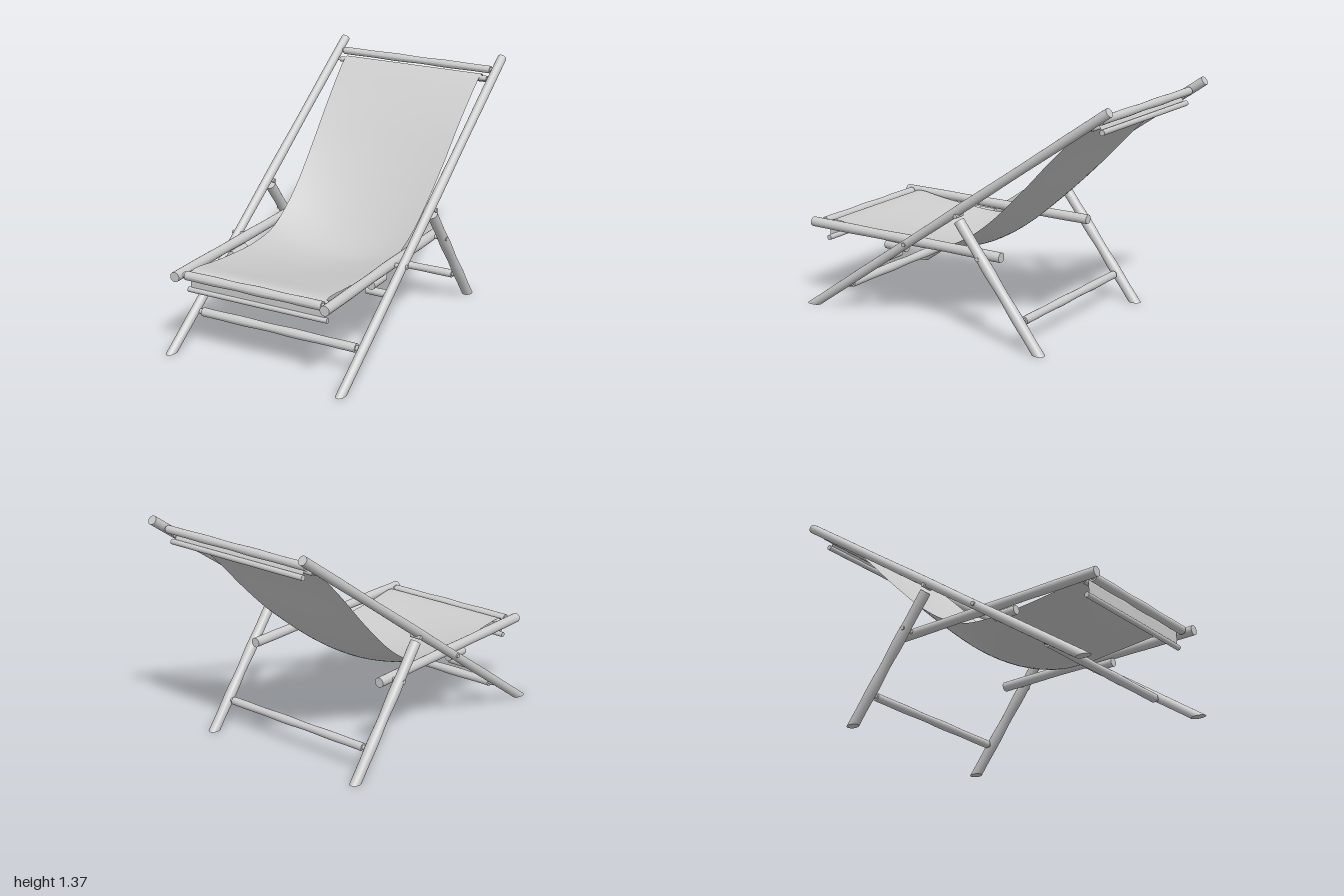
import * as THREE from 'three';

const wood = new THREE.MeshStandardMaterial({ color: 0xcccccc });
const fabric = new THREE.MeshStandardMaterial({ color: 0xcccccc, side: THREE.DoubleSide });
const V = (x, y, z) => new THREE.Vector3(x, y, z);

// Slightly knobbly round pole from a to b; foot = true slices the end at a level with the ground
function pole(name, a, b, r, { wobble = 0, foot = false } = {}) {
  const length = a.distanceTo(b);
  const axis = b.clone().sub(a).normalize();
  const geo = new THREE.CylinderGeometry(r, r, length, 18, wobble ? 20 : 1);
  const turn = new THREE.Quaternion().setFromUnitVectors(V(0, 1, 0), axis);
  const middle = a.clone().add(b).multiplyScalar(0.5);
  const pos = geo.attributes.position;
  for (let i = 0; i < pos.count; i++) {
    const p = V().fromBufferAttribute(pos, i);
    const t = p.y / length + 0.5;
    const swell = 1 + wobble * Math.sin(t * 17 + a.z * 5) * Math.sin(t * Math.PI);
    p.x *= swell;
    p.z *= swell;
    p.applyQuaternion(turn).add(middle);
    if (foot && t < 0.001) p.addScaledVector(axis, -p.y / axis.y);
    pos.setXYZ(i, p.x, p.y, p.z);
  }
  geo.computeVertexNormals();
  const mesh = new THREE.Mesh(geo, wood);
  mesh.name = name;
  return mesh;
}

// Crossbar along x, with thinner tenons entering the side poles
function crossbar(name, halfWidth, y, z, r, tenon = 0.03, wobble = 0.08) {
  const bar = new THREE.Group();
  bar.name = name;
  bar.add(pole(name + 'Body', V(-halfWidth, y, z), V(halfWidth, y, z), r, { wobble }));
  if (tenon) {
    const w = halfWidth + tenon;
    bar.add(pole(name + 'Tenon', V(-w, y, z), V(w, y, z), r * 0.6));
  }
  return bar;
}

// Sling cloth: rows of [z, edge height, half width, sag at the middle]
function sling() {
  const rows = [
    [-0.905, 1.207, 0.45, 0], [-0.89, 1.24, 0.45, 0], [-0.868, 1.264, 0.45, 0],
    [-0.83, 1.25, 0.45, 0], [-0.62, 1.06, 0.44, 0.02], [-0.4, 0.83, 0.43, 0.045],
    [-0.2, 0.64, 0.42, 0.065], [-0.05, 0.53, 0.415, 0.08], [0.1, 0.46, 0.41, 0.075],
    [0.3, 0.44, 0.405, 0.055], [0.5, 0.45, 0.4, 0.035], [0.7, 0.468, 0.402, 0.015],
    [0.88, 0.487, 0.41, 0], [0.912, 0.475, 0.41, 0], [0.917, 0.43, 0.41, 0], [0.917, 0.366, 0.41, 0],
  ];
  const edge = new THREE.CatmullRomCurve3(rows.map(([z, y, w]) => V(w, y, z)), false, 'centripetal');
  const sags = new THREE.CatmullRomCurve3(rows.map((q, i) => V(q[3], i * 0.1, 0)), false, 'centripetal');
  const n = 90, m = 20;
  const geo = new THREE.PlaneGeometry(1, 1, m, n);
  const pos = geo.attributes.position;
  for (let j = 0; j <= n; j++) {
    const p = edge.getPoint(j / n);
    const sag = sags.getPoint(j / n).x;
    for (let i = 0; i <= m; i++) {
      const u = (i / m) * 2 - 1;
      pos.setXYZ(j * (m + 1) + i, u * p.x, p.y - sag * (1 - u * u), p.z);
    }
  }
  geo.computeVertexNormals();
  const mesh = new THREE.Mesh(geo, fabric);
  mesh.name = 'slingCloth';
  return mesh;
}

export function createModel() {
  const chair = new THREE.Group();
  chair.name = 'deckChair';

  for (const [side, s] of [['left', 1], ['right', -1]]) {
    const frame = new THREE.Group();
    frame.name = side + 'Frame';
    // Long back rail, rear prop leg and level seat rail
    frame.add(pole('backRail', V(s * 0.525, 0, 0.955), V(s * 0.525, 1.345, -0.98), 0.026, { wobble: 0.05, foot: true }));
    frame.add(pole('rearLeg', V(s * 0.525, 0, -0.58), V(s * 0.525, 0.655, -0.075), 0.03, { wobble: 0.07, foot: true }));
    frame.add(pole('seatRail', V(s * 0.455, 0.47, 1), V(s * 0.455, 0.47, -0.3), 0.028, { wobble: 0.05 }));
    // Stop block under the seat rail, resting on a peg in the back rail
    frame.add(pole('stopBlock', V(s * 0.44, 0.416, 0.48), V(s * 0.44, 0.416, 0.34), 0.025));
    frame.add(pole('stopPeg', V(s * 0.39, 0.363, 0.43), V(s * 0.51, 0.363, 0.43), 0.022));
    // Pivot pegs
    for (const [y, z, inner] of [[0.47, 0.28, 0.45], [0.685, -0.07, 0.49], [0.47, -0.21, 0.45]]) {
      frame.add(pole('pivotPeg', V(s * inner, y, z), V(s * 0.557, y, z), 0.012));
    }
    chair.add(frame);
  }

  // Crossbars of the back frame, the rear legs and the seat frame
  chair.add(crossbar('topBar', 0.487, 1.285, -0.905, 0.022));
  chair.add(crossbar('frontFootBar', 0.48, 0.155, 0.71, 0.025));
  chair.add(crossbar('rearFootBar', 0.48, 0.155, -0.46, 0.023));
  chair.add(crossbar('seatFrontBar', 0.415, 0.47, 0.948, 0.025));

  // Rods the cloth folds over, and the dowels sewn into its hems
  chair.add(crossbar('upperClothRod', 0.488, 1.242, -0.856, 0.016, 0.02, 0.03));
  chair.add(crossbar('lowerClothRod', 0.42, 0.465, 0.895, 0.015, 0.02, 0.03));
  chair.add(crossbar('upperHemDowel', 0.46, 1.222, -0.903, 0.015, 0, 0));
  chair.add(crossbar('lowerHemDowel', 0.425, 0.378, 0.915, 0.015, 0, 0));

  chair.add(sling());
  return chair;
}
